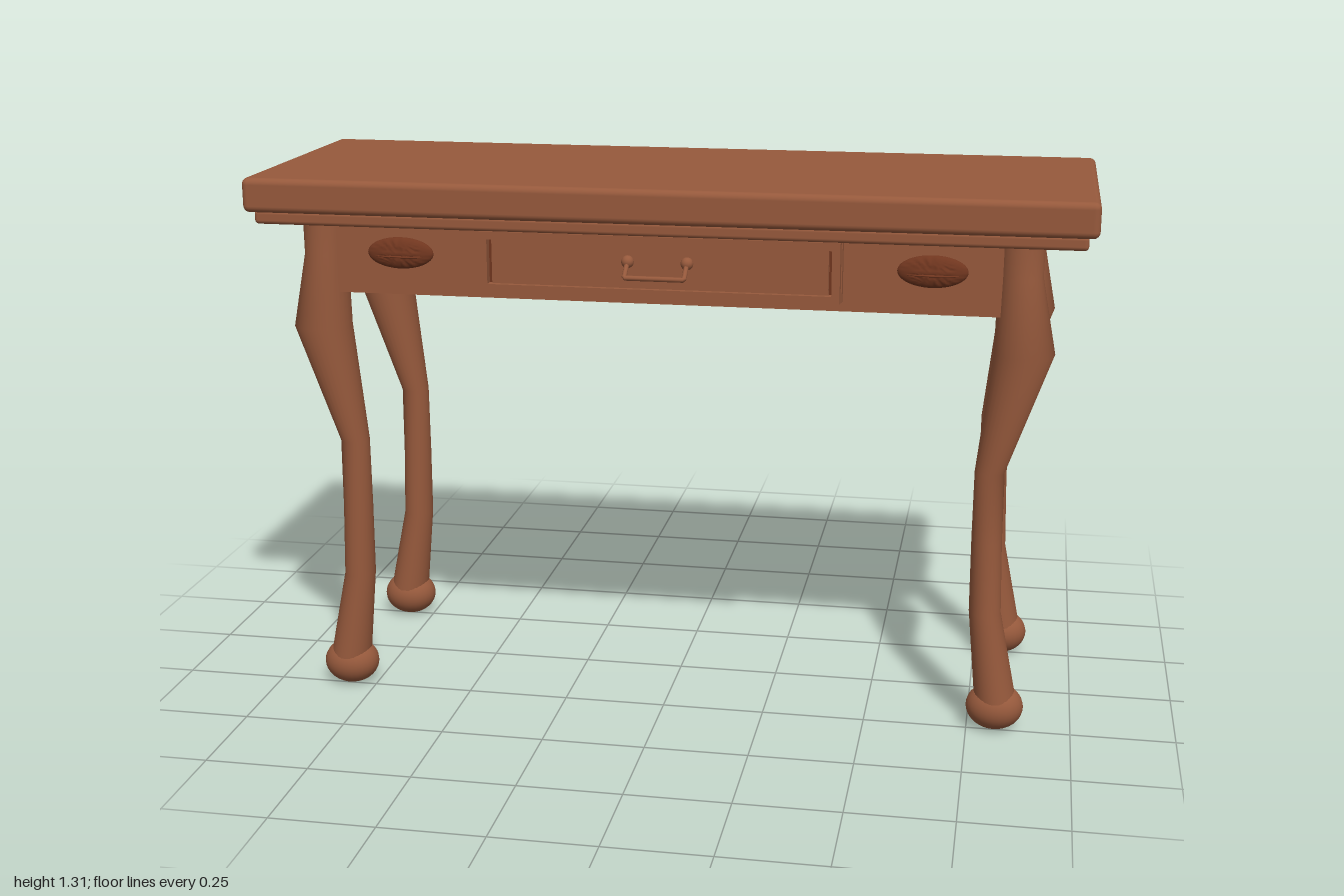
import * as THREE from 'three';
import { RoundedBoxGeometry } from 'three/addons/geometries/RoundedBoxGeometry.js';

const wood = new THREE.MeshStandardMaterial({ color: 0x96593c });
wood.name = 'wood';
const darkWood = new THREE.MeshStandardMaterial({ color: 0x70361f });
darkWood.name = 'darkWood';

const ZC = -0.012; // the body sits slightly behind the handle

function add(parent, name, geometry, x, y, z, material = wood) {
  const mesh = new THREE.Mesh(geometry, material);
  mesh.name = name;
  mesh.position.set(x, y, z);
  parent.add(mesh);
  return mesh;
}

// Curved leg lofted through elliptical sections: y, centre x, radius x, radius z
function legGeometry(side) {
  const sections = [
    [0.08, 0.816, 0.05, 0.055], [0.3, 0.783, 0.038, 0.042], [0.48, 0.78, 0.036, 0.039],
    [0.65, 0.78, 0.035, 0.037], [0.94, 0.847, 0.07, 0.07],
    [1.12, 0.831, 0.051, 0.056], [1.21, 0.831, 0.052, 0.054],
  ];
  const n = 28, pos = [], index = [];
  sections.forEach(([y, cx, rx, rz], j) => {
    for (let i = 0; i < n; i++) {
      const a = (i / n) * Math.PI * 2;
      pos.push(side * cx + rx * Math.cos(a), y, rz * Math.sin(a));
      if (j === 0) continue;
      const k = (i + 1) % n, lo = (j - 1) * n, hi = j * n;
      index.push(lo + i, hi + i, lo + k, hi + i, hi + k, lo + k);
    }
  });
  const g = new THREE.BufferGeometry();
  g.setAttribute('position', new THREE.Float32BufferAttribute(pos, 3));
  g.setIndex(index);
  g.computeVertexNormals();
  return g;
}

// Flat rectangular frame
function frameGeometry(w, h, border, depth) {
  const rect = (P, a, b) => new P([
    new THREE.Vector2(-a, -b), new THREE.Vector2(a, -b),
    new THREE.Vector2(a, b), new THREE.Vector2(-a, b),
  ]);
  const shape = rect(THREE.Shape, w / 2, h / 2);
  shape.holes.push(rect(THREE.Path, w / 2 - border, h / 2 - border));
  return new THREE.ExtrudeGeometry(shape, { depth, bevelEnabled: false });
}

export function createModel() {
  const table = new THREE.Group();
  table.name = 'consoleTable';

  // Top slab and the moulding below it
  add(table, 'tabletop', new RoundedBoxGeometry(2, 0.083, 0.7, 3, 0.016), 0, 1.269, ZC);
  add(table, 'moulding', new RoundedBoxGeometry(1.955, 0.034, 0.664, 3, 0.01), 0, 1.215, ZC);

  // Apron boards, open underneath
  const t = 0.08, top = 1.205, bottom = 1.03, h = top - bottom, y = (top + bottom) / 2;
  const halfX = 0.855, halfZ = 0.282;
  for (const s of [1, -1]) {
    add(table, s > 0 ? 'frontApron' : 'backApron',
      new THREE.BoxGeometry(halfX * 2 - 0.05, h, t), 0, y, ZC + s * (halfZ - t / 2));
    add(table, s > 0 ? 'leftApron' : 'rightApron',
      new THREE.BoxGeometry(t, h, halfZ * 2 - 0.05), s * (halfX - t / 2), y, ZC);
  }

  // Legs with ball feet
  for (const sx of [1, -1]) {
    for (const sz of [1, -1]) {
      const leg = new THREE.Group();
      leg.name = (sz > 0 ? 'front' : 'back') + (sx > 0 ? 'Left' : 'Right') + 'Leg';
      leg.position.z = ZC + sz * 0.247;
      add(leg, 'legShaft', legGeometry(sx), 0, 0, 0);
      const foot = add(leg, 'foot', new THREE.SphereGeometry(1, 28, 18), sx * 0.816, 0.057, 0);
      foot.scale.set(0.069, 0.057, 0.06);
      table.add(leg);
    }
  }

  // Drawer front: backing, raised frame and recessed panel
  const drawer = new THREE.Group();
  drawer.name = 'drawer';
  drawer.position.set(0, 1.127, 0.26);
  add(drawer, 'drawerBacking', new THREE.BoxGeometry(0.855, 0.146, 0.035), 0, 0, 0.0175);
  add(drawer, 'drawerFrame', frameGeometry(0.85, 0.144, 0.019, 0.025), 0, 0, 0.035);
  add(drawer, 'drawerPanel', new THREE.BoxGeometry(0.795, 0.112, 0.014), 0, 0, 0.04);
  add(drawer, 'panelGroove', frameGeometry(0.812, 0.122, 0.008, 0.002), 0, 0, 0.0355, darkWood);
  table.add(drawer);

  // Drop handle
  const handle = new THREE.Group();
  handle.name = 'handle';
  const path = new THREE.CurvePath();
  const pts = [[-0.07, 1.138, 0.315], [-0.07, 1.108, 0.356], [0.07, 1.108, 0.356], [0.07, 1.138, 0.315]]
    .map((p) => new THREE.Vector3(...p));
  for (let i = 0; i < 3; i++) path.add(new THREE.LineCurve3(pts[i], pts[i + 1]));
  add(handle, 'handleBar', new THREE.TubeGeometry(path, 60, 0.006, 8), 0, 0, 0);
  for (const s of [1, -1]) {
    add(handle, 'handleKnob', new THREE.SphereGeometry(0.015, 16, 12), s * 0.07, 1.138, 0.314);
  }
  table.add(handle);

  // Carved oval ornaments: fluted shell with a horizontal lip
  for (const s of [1, -1]) {
    const ornament = new THREE.Group();
    ornament.name = s > 0 ? 'leftOrnament' : 'rightOrnament';
    ornament.position.set(s * 0.632, 1.131, 0.27);
    const shell = new THREE.SphereGeometry(1, 72, 24);
    const p = shell.attributes.position;
    for (let i = 0; i < p.count; i++) {
      const flute = 1 + 0.12 * Math.cos(Math.atan2(p.getY(i), p.getX(i)) * 18);
      p.setZ(i, p.getZ(i) * flute);
    }
    shell.scale(0.081, 0.038, 0.018);
    shell.computeVertexNormals();
    add(ornament, 'shell', shell, 0, 0, 0, darkWood);
    const lip = add(ornament, 'lip', new THREE.SphereGeometry(1, 24, 12), 0, -0.007, 0, darkWood);
    lip.scale.set(0.07, 0.004, 0.024);
    table.add(ornament);
  }
  return table;
}
